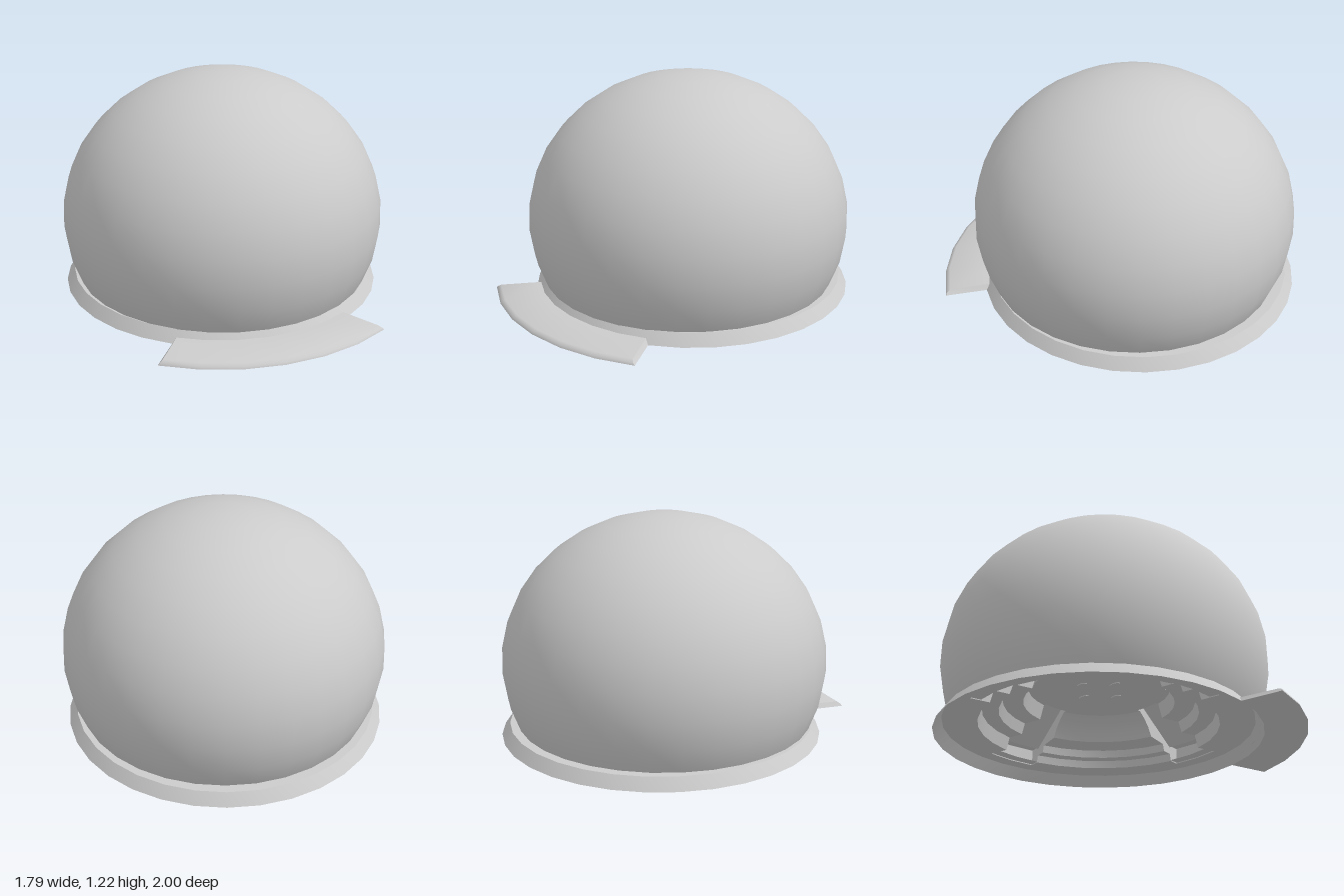
import * as THREE from 'three';
import { toCreasedNormals } from 'three/addons/utils/BufferGeometryUtils.js';

const grey = new THREE.MeshStandardMaterial({ color: 0xcccccc });
const sheet = new THREE.MeshStandardMaterial({ color: 0xcccccc, side: THREE.DoubleSide });
const BASE_Z = -0.115; // axis of the base
const DOME_Z = -0.085; // axis of the dome
const STEP = Math.PI / 16; // one of 32 facets around

function add(parent, name, geometry, material = sheet) {
  const mesh = new THREE.Mesh(geometry, material);
  mesh.name = name;
  parent.add(mesh);
  return mesh;
}

const toPoints = (profile) => profile.map(([r, y]) => new THREE.Vector2(r, y));

// Turned part, or a sector of one, counted in facets from the front
function turned(profile, start = 0, facets = 32) {
  return new THREE.LatheGeometry(toPoints(profile), facets, start * STEP, facets * STEP);
}

// Flat radial wall with the given outline
function radialWall(outline, facet) {
  return new THREE.ShapeGeometry(new THREE.Shape(toPoints(outline)))
    .rotateY(facet * STEP - Math.PI / 2);
}

// Squashed sphere cut off at the base
function domeGeometry() {
  const sphere = new THREE.SphereGeometry(1, 32, 11, 0, Math.PI * 2, 0, Math.acos(-0.34 / 0.82));
  return sphere.scale(0.895, 0.82, 0.895).translate(0, 0.4, 0);
}

// Leans the ends of the front plate inwards towards the top
function leanEnds(geometry) {
  const pos = geometry.attributes.position;
  for (let i = 0; i < pos.count; i++) {
    const x = pos.getX(i), y = pos.getY(i), z = pos.getZ(i);
    const r = Math.hypot(x, z);
    const a = Math.atan2(x, z) * (1 - 1.2 * y);
    pos.setXYZ(i, r * Math.sin(a), y, r * Math.cos(a));
  }
  geometry.computeVertexNormals();
  return geometry;
}

// Curved plate in front of the base with a softened outer edge
function frontPlate() {
  const plate = new THREE.Group();
  plate.name = 'frontPlate';
  const profile = [[0.885, 0], [1.115, 0], [1.11, 0.012], [1.09, 0.024], [0.865, 0.028]];
  add(plate, 'plateSurface', toCreasedNormals(leanEnds(turned(profile, -3, 6)), 0.8));
  for (const facet of [-3, 3]) add(plate, 'plateEnd', leanEnds(radialWall(profile, facet)));
  return plate;
}

export function createModel() {
  const model = new THREE.Group();
  model.name = 'domeOnBase';

  add(model, 'dome', domeGeometry(), grey).position.z = DOME_Z;

  const base = new THREE.Group();
  base.name = 'base';
  base.position.z = BASE_Z;
  model.add(base);
  add(base, 'baseSkirt', toCreasedNormals(turned([[0.885, 0], [0.84, 0.065], [0.7, 0.065]]), 0.4));
  base.add(frontPlate());

  // Hollow underside: stepped front and back, coved sides, sloping channels between
  const stepped = [[0.34, 0.27], [0.385, 0.27], [0.41, 0.19], [0.52, 0.19], [0.54, 0.13],
    [0.63, 0.13], [0.65, 0.06], [0.84, 0.06]];
  const coved = [[0.34, 0.27], [0.39, 0.27], [0.43, 0.24], [0.47, 0.2], [0.5, 0.15],
    [0.62, 0.14], [0.63, 0.1], [0.69, 0.1], [0.7, 0.06], [0.84, 0.06]];
  const channel = [[0.34, 0.27], [0.36, 0.27], [0.42, 0.3], [0.69, 0.14], [0.71, 0.15],
    [0.76, 0.15], [0.76, 0.06], [0.84, 0.06]];
  const recess = (name, profile, start, facets) =>
    add(base, name, toCreasedNormals(turned(profile, start, facets), 0.45));

  for (let i = 0; i < 4; i++) {
    const middle = i * 8;
    const profile = i % 2 ? coved : stepped;
    recess(i % 2 ? 'covedRecess' : 'steppedRecess', profile, middle - 3, 6);
    recess('channel', channel, middle + 3, 2);
    const side = [...profile, ...channel.slice(1, -1).reverse()];
    for (const end of [-3, 3]) add(base, 'channelSide', radialWall(side, middle + end));

    // Shallow oval pads on the centre disc
    const a = (middle + 4) * STEP;
    const pad = add(base, 'discPad', new THREE.CylinderGeometry(0.035, 0.035, 0.01, 12), grey);
    pad.position.set(0.125 * Math.sin(a), 0.266, 0.125 * Math.cos(a));
    pad.scale.z = 0.5;
    pad.rotation.y = Math.PI / 4;
  }
  add(base, 'centreDisc', new THREE.CylinderGeometry(0.36, 0.36, 0.03, 32), grey).position.y = 0.28;

  return model;
}
